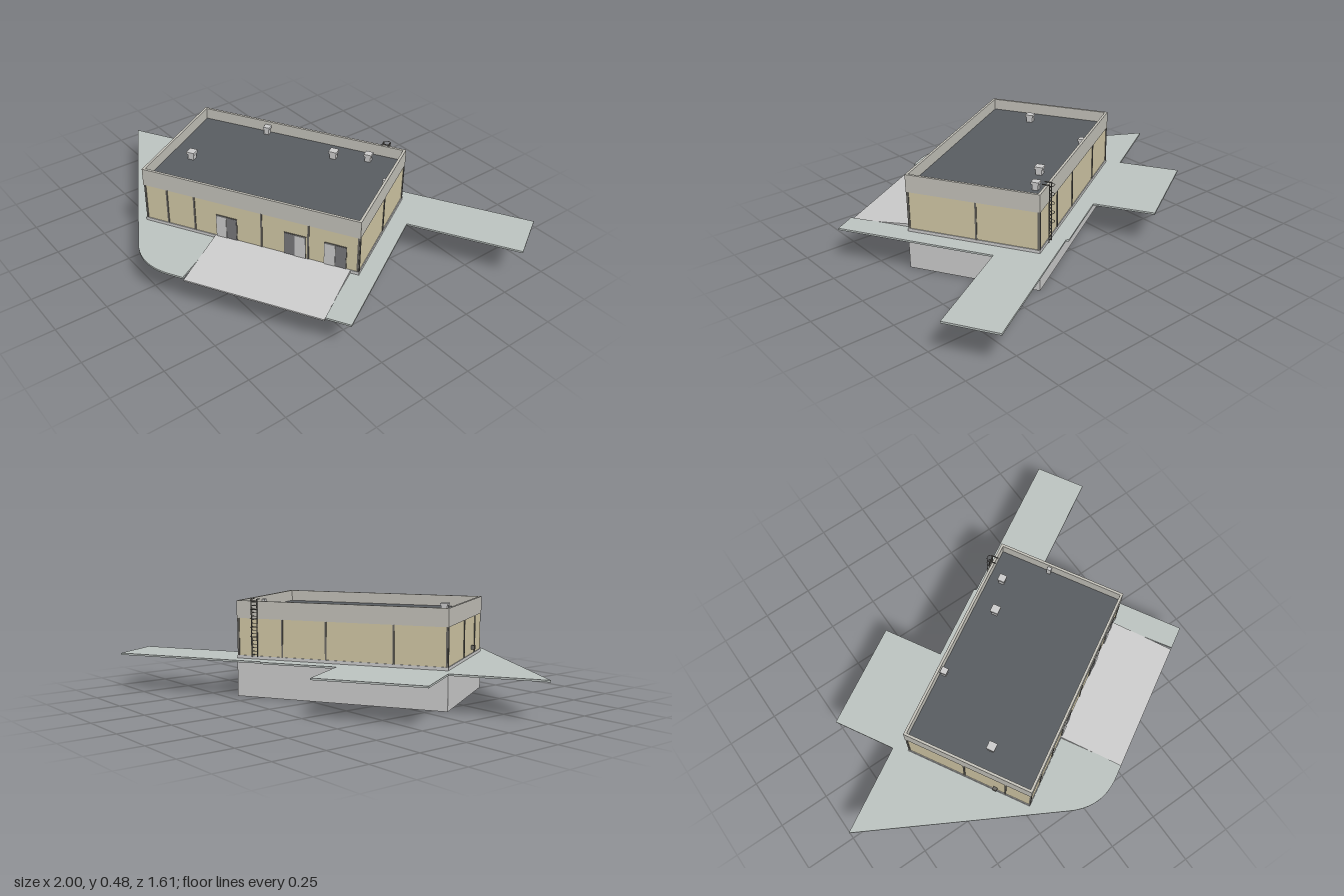
import * as THREE from 'three';

const mat = (color) => new THREE.MeshStandardMaterial({ color });
const M = {
  grey: mat(0xcccccc), ground: mat(0xbcc3c0), parapet: mat(0xc4c2ba), wall: mat(0xd2c8a6),
  roof: mat(0x595d61), frame: mat(0x6c6a64), dark: mat(0x77777a),
};

export function createModel() {
  const model = new THREE.Group();
  model.name = 'building';
  // Everything is laid out square to the house, then turned on the site
  const house = new THREE.Group();
  house.name = 'site';
  house.position.set(0.06, 0, 0.1);
  house.rotation.y = Math.PI / 6;
  model.add(house);

  const add = (name, geo, m) => {
    const mesh = new THREE.Mesh(geo, m);
    mesh.name = name;
    house.add(mesh);
    return mesh;
  };
  // Box given by its limits on each axis
  const box = (name, x0, x1, y0, y1, z0, z1, m = M.grey) =>
    add(name, new THREE.BoxGeometry(x1 - x0, y1 - y0, z1 - z0), m)
      .position.set((x0 + x1) / 2, (y0 + y1) / 2, (z0 + z1) / 2);

  const L = 0.53, W = 0.318, t = 0.012;

  // Ground slab: paths, rear pad, rounded front corner, gap for the terrace
  const s = new THREE.Shape();
  s.moveTo(-0.998, 0.391);
  s.lineTo(-0.471, -0.496);
  s.quadraticCurveTo(-0.39, -0.632, -0.232, -0.632);
  [[-0.168, 0.632], [-0.158, W], [0.488, W], [0.495, 0.632], [0.611, 0.632], [0.611, -0.131],
    [1.156, -0.131], [1.156, -0.385], [0.372, -0.385], [0.366, -0.397], [-0.021, -0.397],
    [-0.021, -0.7], [-0.55, -0.7], [-0.55, -0.391]].forEach(([x, z]) => s.lineTo(x, -z));
  s.closePath();
  const slab = new THREE.ExtrudeGeometry(s, { depth: 0.009, bevelEnabled: false, curveSegments: 14 });
  slab.rotateX(-Math.PI / 2);
  add('groundSlab', slab, M.ground).position.y = 0.179;

  // Terrace sloping away from the front doors
  const p = new THREE.Shape([[W, 0.18], [0.632, 0.168], [0.632, 0.175], [W, 0.204]]
    .map(([z, y]) => new THREE.Vector2(z, y)));
  const terrace = new THREE.ExtrudeGeometry(p, { depth: 0.656, bevelEnabled: false });
  terrace.rotateY(-Math.PI / 2);
  add('terrace', terrace, M.grey).position.x = 0.491;

  // Basement walls, open strip under the front beam
  box('basementBackWall', -L, L, 0, 0.179, -W, -W + t);
  box('basementEndWall', L - t, L, 0, 0.179, -W, W);
  box('basementEndWall', -L, -L + t, 0, 0.179, -W, W);
  box('basementFrontWall', -L, -0.41, 0, 0.179, W - t, W);
  box('basementReturnWall', -0.41 - t, -0.41, 0, 0.179, 0.19, W);
  box('basementInnerWall', -0.41, L, 0, 0.179, 0.19 - t, 0.19);
  box('basementCrossWall', -0.01, 0, 0, 0.179, -W, 0.18);
  box('basementFloor', 0, L, 0, 0.006, -W, 0.19);
  box('frontBeam', -0.266, L, 0.08, 0.179, W - t, W);
  for (const x of [-0.26, 0.19, 0.5]) box('post', x, x + 0.014, 0, 0.18, W - 0.016, W - 0.002);
  for (const x of [-0.2, 0.1, 0.36]) {
    box('basementDoorFrame', x, x + 0.066, 0, 0.125, 0.19, 0.194, M.frame);
    box('basementDoor', x + 0.005, x + 0.061, 0, 0.12, 0.19, 0.196);
  }

  // Upper floor: plinth line, wall block, roof and parapet ring
  box('plinth', -L, L, 0.179, 0.203, -W, W);
  box('upperWalls', -L + 0.004, L - 0.004, 0.2, 0.39, -W + 0.004, W - 0.004, M.wall);
  box('roof', -L + 0.005, L - 0.005, 0.388, 0.415, -W + 0.005, W - 0.005, M.roof);
  for (const k of [-1, 1]) {
    const z = k * (W - t / 2), x = k * (L - t / 2);
    box('parapet', -L, L, 0.385, 0.47, z - t / 2, z + t / 2, M.parapet);
    box('parapet', x - t / 2, x + t / 2, 0.385, 0.47, -W + t, W - t, M.parapet);
  }

  // Mullions between the wall panels
  const h = 0.004;
  const mullion = (x, z) => box('mullion', x - h, x + h, 0.2, 0.387, z - h, z + h, M.frame);
  for (const x of [-0.522, -0.41, -0.27, 0.065, 0.29, 0.522]) mullion(x, W - h);
  for (const x of [-0.522, -0.27, 0.065, 0.29, 0.522]) mullion(x, -W + h);
  for (const z of [-0.31, -0.02, 0.19]) mullion(-L + h, z);
  for (const z of [-0.31, -0.017, 0.31]) mullion(L - h, z);

  // Front doors: open doorway with a pale leaf beside a dark one
  for (const [x, flip] of [[-0.16, 0], [0.175, 1], [0.365, 0]]) {
    box('doorFrame', x, x + 0.105, 0.2, 0.319, W - 0.006, W - 0.001, M.frame);
    const a = x + (flip ? 0.053 : 0.003);
    const b = x + (flip ? 0.003 : 0.053);
    box('doorLeaf', a, a + 0.049, 0.2, 0.316, W - 0.004, W + 0.002);
    box('doorway', b, b + 0.049, 0.2, 0.316, W - 0.004, W, M.dark);
  }

  // Small lamp on the end wall
  box('wallLamp', -L - 0.012, -L + 0.005, 0.223, 0.243, 0.13, 0.15, M.frame);

  // Roof vents with caps
  for (const [x, z, r] of [[-0.407, 0.065, 0.02], [0.209, -0.203, 0.02], [0.37, -0.242, 0.018], [-0.173, -0.287, 0.016]]) {
    box('ventShaft', x - r * 0.75, x + r * 0.75, 0.41, 0.445, z - r * 0.75, z + r * 0.75);
    box('ventCap', x - r, x + r, 0.443, 0.455, z - r, z + r);
  }
  box('roofOutlet', 0.502, 0.522, 0.41, 0.455, -0.067, -0.047);

  // Caged ladder on the back wall
  for (const x of [0.415, 0.445]) {
    box('ladderRail', x - 0.002, x + 0.002, 0.2, 0.482, -W - 0.014, -W - 0.01, M.frame);
    box('ladderHandle', x - 0.002, x + 0.002, 0.478, 0.482, -W - 0.014, -W + 0.02, M.frame);
  }
  for (let i = 0; i < 16; i++) {
    const y = 0.21 + i * 0.017;
    box('ladderRung', 0.415, 0.445, y, y + 0.003, -W - 0.014, -W - 0.011, M.frame);
  }
  for (let i = 0; i < 5; i++) {
    const hoop = add('ladderHoop', new THREE.TorusGeometry(0.018, 0.0015, 4, 12, Math.PI), M.frame);
    hoop.rotation.x = -Math.PI / 2;
    hoop.position.set(0.43, 0.3 + i * 0.044, -W - 0.013);
  }
  return model;
}
